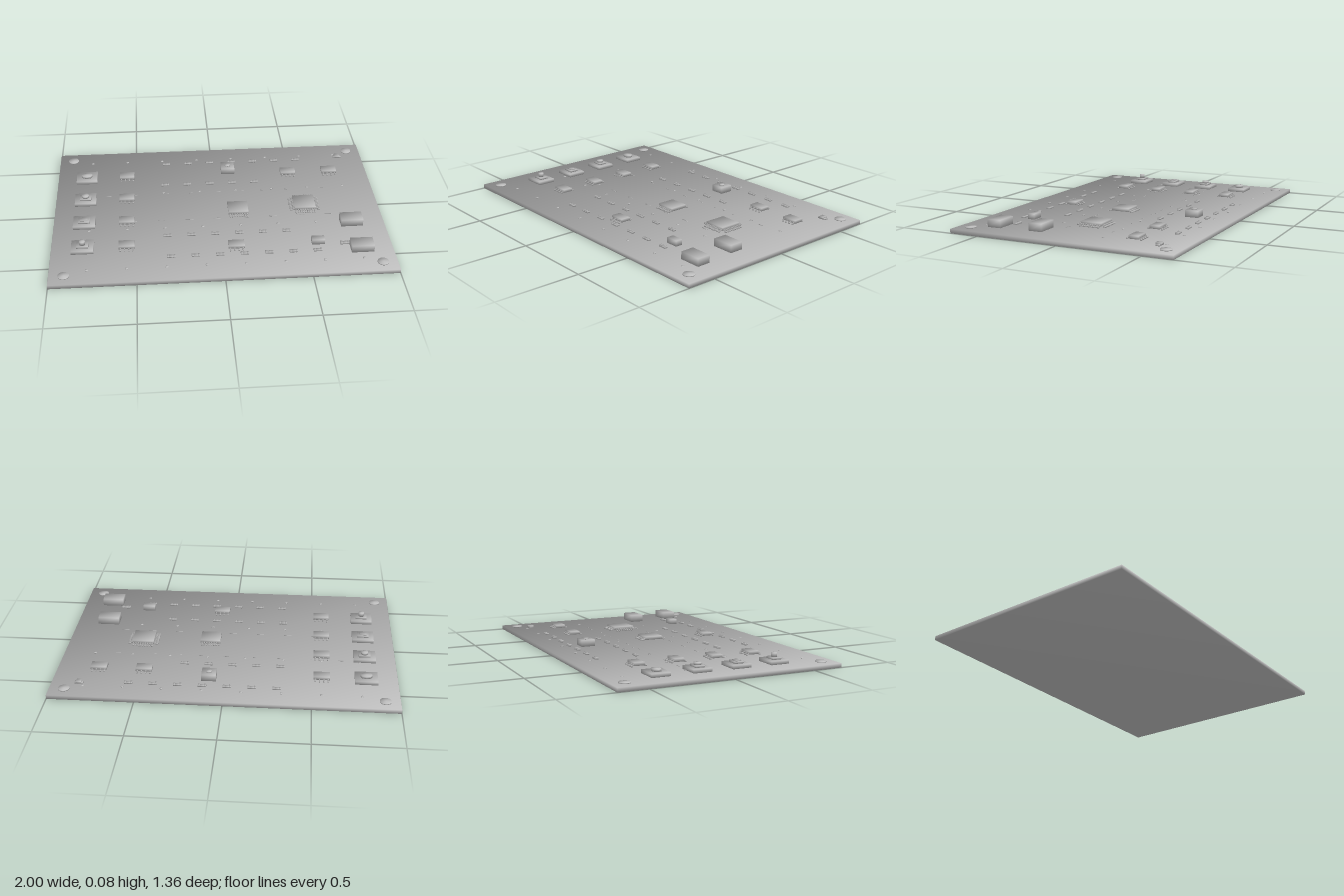
import * as THREE from 'three';

const grey = new THREE.MeshStandardMaterial({ color: 0xbfbfbf });
grey.name = 'plainGrey';

const TOP = 0.025; // upper face of the board

// One shared rounded-looking normal per corner: pos / half extents
function soften(geo) {
  geo.computeBoundingBox();
  const h = geo.boundingBox.max;
  const p = geo.attributes.position, n = geo.attributes.normal, v = new THREE.Vector3();
  for (let i = 0; i < p.count; i++) {
    v.fromBufferAttribute(p, i).divide(h).normalize();
    n.setXYZ(i, v.x, v.y, v.z);
  }
  return geo;
}

function add(parent, name, geo, x, y, z) {
  const m = new THREE.Mesh(soften(geo), grey);
  m.name = name;
  m.position.set(x, y, z);
  parent.add(m);
  return m;
}

// Box and disc standing between heights y0 and y1
const box = (g, name, x, z, w, d, y0, y1) =>
  add(g, name, new THREE.BoxGeometry(w, y1 - y0, d), x, (y0 + y1) / 2, z);
const disc = (g, name, x, z, r, y0, y1, sides = 16, rTop = r) =>
  add(g, name, new THREE.CylinderGeometry(rTop, r, y1 - y0, sides), x, (y0 + y1) / 2, z);

function part(parent, name, x, z) {
  const g = new THREE.Group();
  g.name = name;
  g.position.set(x, 0, z);
  parent.add(g);
  return g;
}

// Chip body with bent leads along two or four sides
function chip(parent, name, x, z, w, d, reach, count, pitch, fourSides = false) {
  const g = part(parent, name, x, z);
  box(g, 'chipBody', 0, 0, w, d, 0.031, 0.05);
  const sides = fourSides ? 4 : 2;
  for (let s = 0; s < sides; s++) {
    const row = part(g, 'leadRow', 0, 0);
    row.rotation.y = s * (fourSides ? Math.PI / 2 : Math.PI);
    const edge = fourSides && s % 2 ? w / 2 : d / 2;
    for (let i = 0; i < count; i++) {
      const px = (i - (count - 1) / 2) * pitch;
      box(row, 'leadShoulder', px, edge + reach * 0.2, 0.007, reach * 0.6, 0.034, 0.039);
      box(row, 'leadFoot', px, edge + reach * 0.7, 0.007, reach * 0.6, TOP, 0.034);
    }
  }
}

// Small two-ended resistor
function resistor(parent, x, z, w = 0.048, d = 0.02) {
  const g = part(parent, 'resistor', x, z);
  box(g, 'resistorBody', 0, 0, w * 0.6, d * 0.9, TOP, 0.034);
  for (const s of [-1, 1]) box(g, 'resistorCap', s * w * 0.38, 0, w * 0.24, d, TOP, 0.035);
}

export function createModel() {
  const model = new THREE.Group();
  model.name = 'circuitBoard';
  box(model, 'board', 0, 0, 2, 1.355, 0, TOP);

  // Corner screws
  for (const x of [-0.914, 0.914]) for (const z of [-0.6, 0.6])
    disc(model, 'cornerScrew', x, z, 0.033, TOP, 0.03, 24);

  // Grid of vias
  for (const z of [-0.56, -0.188, 0.185, 0.556]) for (let i = 0; i < 8; i++)
    disc(model, 'via', -0.786 + i * 0.2286, z, 0.009, TOP, 0.027, 10);

  // Push switches, each with its own kind of button, beside a driver chip
  [-0.377, -0.131, 0.11, 0.352].forEach((z, i) => {
    const g = part(model, 'pushSwitch', -0.816, z);
    box(g, 'switchBase', 0, 0, 0.132, 0.112, TOP, 0.046);
    if (i === 0) {
      const b = disc(g, 'ovalButton', 0, 0, 0.035, 0.046, 0.06, 8);
      b.scale.z = 0.75;
    } else {
      box(g, 'buttonCollar', 0, 0, 0.07, 0.054, 0.046, 0.057);
      if (i === 1) disc(g, 'roundButton', 0, 0, 0.021, 0.057, 0.07);
      if (i === 2) box(g, 'squareButton', 0, 0, 0.044, 0.03, 0.057, 0.062);
      if (i === 3) disc(g, 'tallButton', 0, 0, 0.017, 0.057, 0.081);
    }
    chip(model, 'driverChip', -0.558, z, 0.095, 0.06, 0.017, 4, 0.025);
  });

  // Other chips
  for (const [x, z] of [[0.485, -0.36], [0.754, -0.36], [0.084, 0.393]])
    chip(model, 'smallChip', x, z, 0.095, 0.06, 0.017, 4, 0.025);
  chip(model, 'memoryChip', 0.125, 0.027, 0.122, 0.112, 0.022, 8, 0.015);
  chip(model, 'processor', 0.54, 0, 0.132, 0.13, 0.027, 9, 0.0145, true);

  // Crystal with a raised cap
  const crystal = part(model, 'crystal', 0.096, -0.418);
  box(crystal, 'crystalCan', 0, 0, 0.085, 0.083, TOP, 0.065);
  disc(crystal, 'crystalCap', 0, 0, 0.017, 0.065, 0.07, 12);

  // Block components near the front corner
  box(model, 'largeCapacitor', 0.798, 0.21, 0.132, 0.083, 0.029, 0.074);
  box(model, 'largeCapacitor', 0.815, 0.466, 0.132, 0.083, 0.029, 0.074);
  box(model, 'smallCapacitor', 0.567, 0.395, 0.076, 0.043, 0.029, 0.062);
  resistor(model, 0.725, 0.41, 0.055, 0.023);
  const led = part(model, 'indicatorLamp', 0.84, -0.53);
  box(led, 'lampBase', 0, 0, 0.05, 0.024, TOP, 0.034);
  box(led, 'lampTop', 0, 0, 0.03, 0.036, 0.03, 0.041);

  // Resistor rows: start x, z, count
  for (const [x0, z, n] of [[-0.301, -0.515, 7], [-0.316, -0.273, 5], [-0.316, 0.266, 6], [-0.301, 0.467, 7]])
    for (let i = 0; i < n; i++) resistor(model, x0 + i * 0.1428, z);

  // Broken traces across the middle
  [-0.674, -0.503, -0.305, -0.155, 0.016, 0.17, 0.294, 0.449, 0.674].forEach((x, i) =>
    box(model, 'rearTrace', x, -0.175, i % 4 === 0 ? 0.032 : 0.018, 0.005, TOP, 0.027));
  for (let i = 0; i < 8; i++)
    box(model, 'frontTrace', -0.52 + i * 0.171, 0.109, 0.046, 0.006, TOP, 0.027);

  return model;
}
